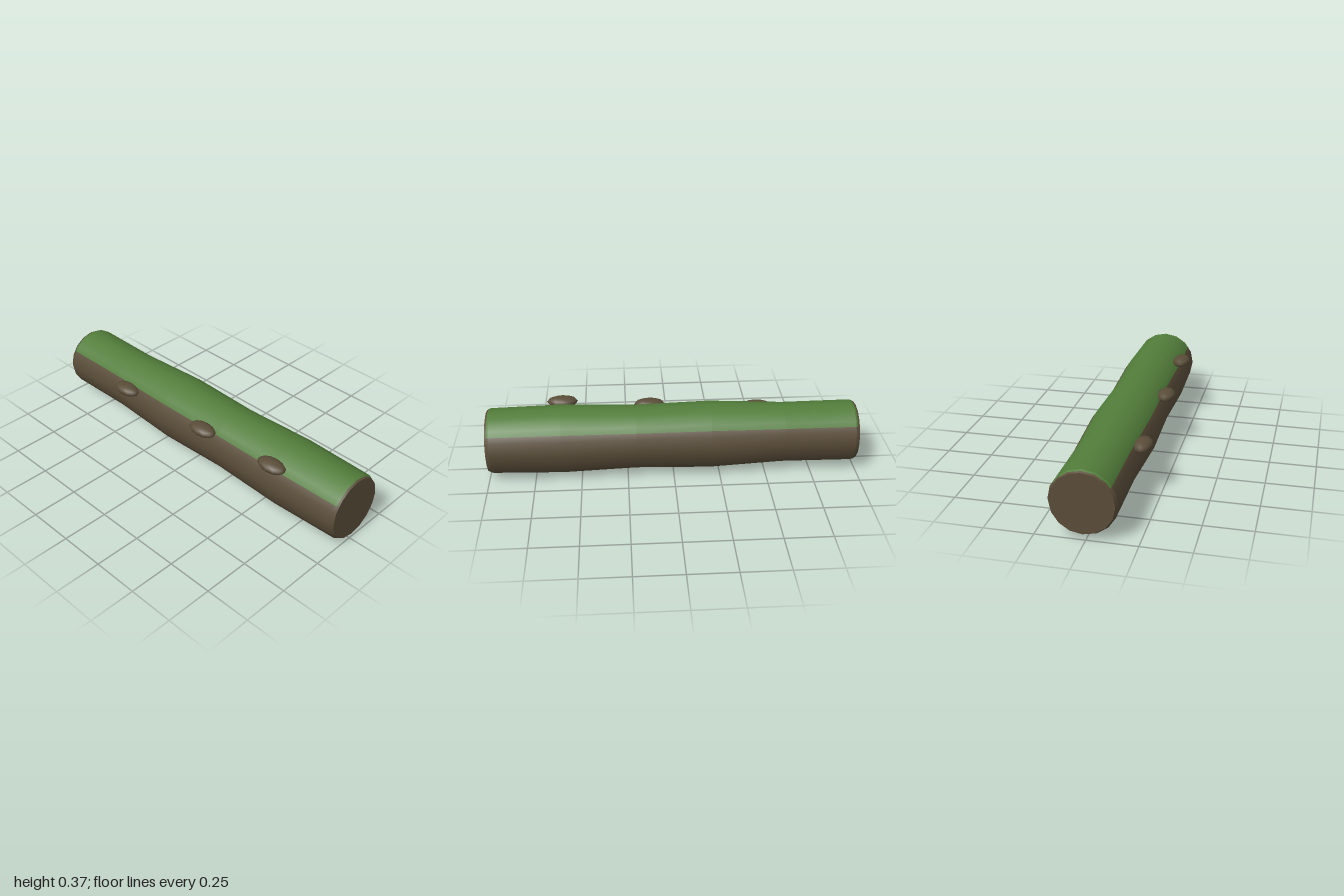
import * as THREE from 'three';

const SIDES = 16;
const STEP = 360 / SIDES;
const MOSS = 2.5 * STEP; // half angle of the mossy strip, measured from the top
const CENTRE_Y = 0.188, CENTRE_Z = -0.0155;

// [x, radius] stations along the trunk
const TRUNK = [[-0.98, 0.167], [-0.6, 0.164], [-0.2, 0.183], [0.2, 0.173], [0.6, 0.186], [0.98, 0.177]];
const BEVEL_X = 0.02, BEVEL_R = 0.01;

// Angles from a to b, one per side of the trunk plus the two ends
function angleRange(a, b) {
  const list = [a];
  for (let t = Math.ceil((a + 0.01) / STEP) * STEP; t < b - 0.01; t += STEP) list.push(t);
  list.push(b);
  return list;
}

// Smooth strip of the trunk around x; a is measured from the top towards the front
function shell(rings, angles) {
  const pos = [], nor = [], idx = [];
  const n = angles.length;
  rings.forEach(([x, r], i) => {
    const p = rings[Math.max(i - 1, 0)], q = rings[Math.min(i + 1, rings.length - 1)];
    const slope = (q[1] - p[1]) / (q[0] - p[0]);
    angles.forEach((deg, j) => {
      const a = THREE.MathUtils.degToRad(deg);
      // angles between two corners lie on the flat side
      const off = Math.abs(deg / STEP - Math.round(deg / STEP)) > 0.1;
      const rr = off ? r * Math.cos(Math.PI / SIDES) : r;
      pos.push(x, CENTRE_Y + rr * Math.cos(a), CENTRE_Z + rr * Math.sin(a));
      const v = new THREE.Vector3(-slope, Math.cos(a), Math.sin(a)).normalize();
      nor.push(v.x, v.y, v.z);
      if (i < rings.length - 1 && j < n - 1) {
        const k = i * n + j;
        idx.push(k, k + 1, k + n, k + 1, k + n + 1, k + n);
      }
    });
  });
  const g = new THREE.BufferGeometry();
  g.setAttribute('position', new THREE.Float32BufferAttribute(pos, 3));
  g.setAttribute('normal', new THREE.Float32BufferAttribute(nor, 3));
  g.setIndex(idx);
  return g;
}

export function createModel() {
  const bark = new THREE.MeshStandardMaterial({ color: 0x5a4d39 });
  bark.name = 'bark brown';
  const moss = new THREE.MeshStandardMaterial({ color: 0x527d3a });
  moss.name = 'moss green';

  const log = new THREE.Group();
  log.name = 'log';
  const add = (name, geometry, material) => {
    const mesh = new THREE.Mesh(geometry, material);
    mesh.name = name;
    log.add(mesh);
    return mesh;
  };

  const mossAngles = angleRange(-MOSS, MOSS);
  const barkAngles = angleRange(MOSS, 360 - MOSS);

  // Trunk: bark below, moss on top
  add('trunkBark', shell(TRUNK, barkAngles), bark);
  add('trunkMoss', shell(TRUNK, mossAngles), moss);

  // Bevelled ends
  for (const side of [-1, 1]) {
    const [x, r] = side < 0 ? TRUNK[0] : TRUNK[TRUNK.length - 1];
    const order = (list) => (side < 0 ? list.reverse() : list);
    const edge = [x, r];
    const mid = [x + side * BEVEL_X / 2, r - BEVEL_R / 2];
    const end = [x + side * BEVEL_X, r - BEVEL_R];
    add('endBevelBark', shell(order([edge, end]), barkAngles), bark);
    add('endBevelMoss', shell(order([edge, mid]), mossAngles), moss);
    add('endBevelRim', shell(order([mid, end]), mossAngles), bark);

    const cap = add('cutEnd', new THREE.CircleGeometry(end[1], SIDES), bark);
    cap.rotation.y = side * Math.PI / 2;
    cap.position.set(end[0], CENTRE_Y, CENTRE_Z);
  }

  // Flat knots along the front
  const knot = new THREE.SphereGeometry(1, 12, 6);
  for (const [x, y] of [[-0.48, 0.266], [0.12, 0.297], [0.6, 0.328]]) {
    const mesh = add('knot', knot, bark);
    mesh.position.set(x, y, 0.154);
    mesh.scale.set(0.085, 0.029, 0.05);
  }

  return log;
}
